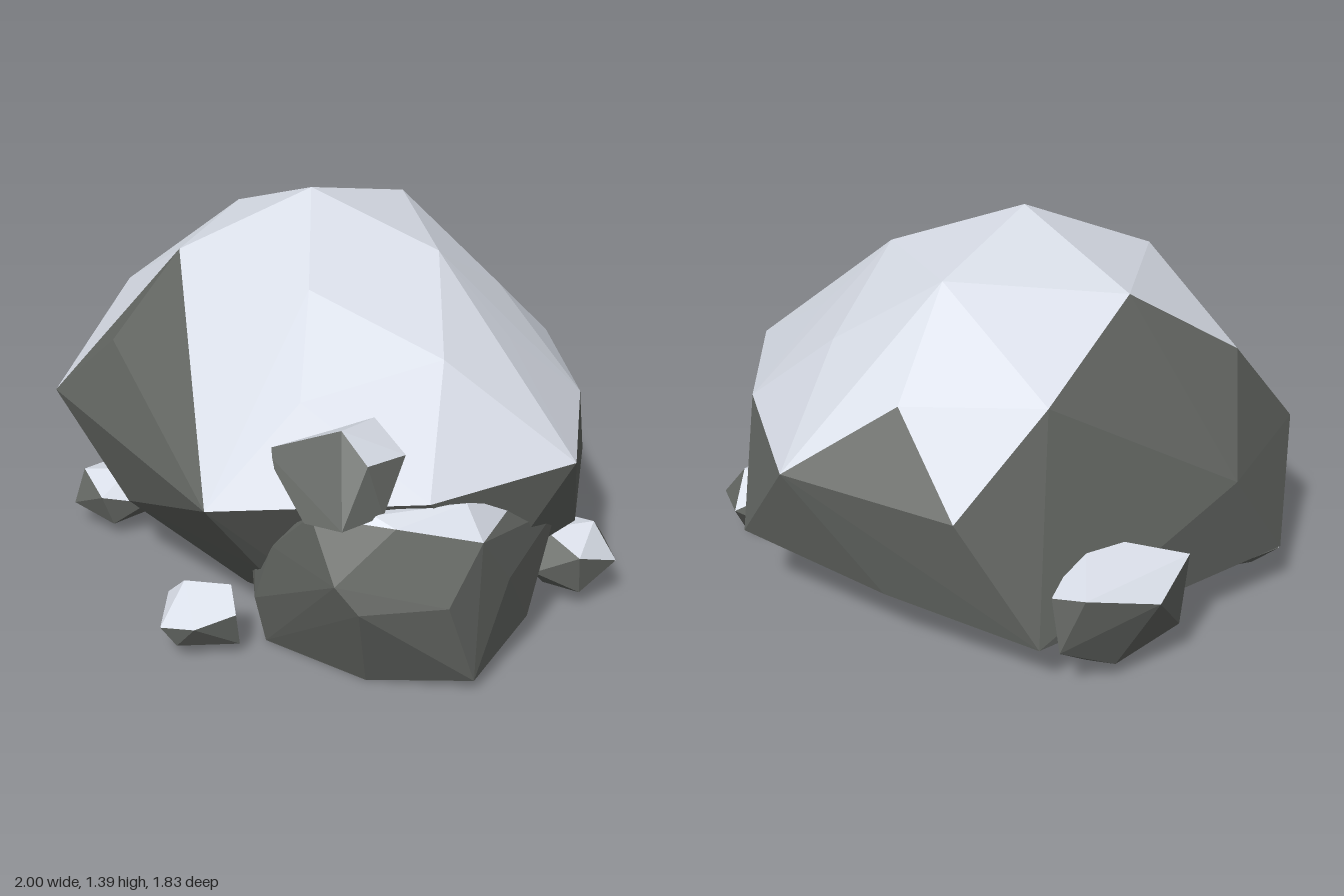
import * as THREE from 'three';
import { ConvexGeometry } from 'three/addons/geometries/ConvexGeometry.js';

const stone = new THREE.MeshStandardMaterial({ color: 0x656864, flatShading: true });
stone.name = 'grey stone';
const snow = new THREE.MeshStandardMaterial({ color: 0xd7dce6, flatShading: true });
snow.name = 'snow';

const vectors = (list) => list.map((p) => new THREE.Vector3(...p));
const hull = (list) => new ConvexGeometry(vectors(list));

// Splits a faceted solid into a stone mesh and a snow mesh by a rule on each face
function snowyRock(name, geometry, isSnow) {
  const group = new THREE.Group();
  group.name = name;
  const pos = (geometry.index ? geometry.toNonIndexed() : geometry).getAttribute('position');
  const sides = { Stone: [], Snow: [] };
  for (let i = 0; i < pos.count; i += 3) {
    const corners = [0, 1, 2].map((k) => new THREE.Vector3().fromBufferAttribute(pos, i + k));
    const normal = new THREE.Triangle(...corners).getNormal(new THREE.Vector3());
    const target = isSnow(normal, corners) ? sides.Snow : sides.Stone;
    corners.forEach((c) => target.push(c.x, c.y, c.z));
  }
  for (const side in sides) {
    if (!sides[side].length) continue;
    const part = new THREE.BufferGeometry();
    part.setAttribute('position', new THREE.Float32BufferAttribute(sides[side], 3));
    part.computeVertexNormals();
    const mesh = new THREE.Mesh(part, side === 'Snow' ? snow : stone);
    mesh.name = name + side;
    group.add(mesh);
  }
  return group;
}

const facesUp = (normal) => normal.y > 0.57;

// Main rock: bare front and back patches, snow cap, then the stone below it
function mainRock() {
  const front = vectors([
    [-0.385, 1.19, 0.35], [-0.535, 0.87, 0.54], [-0.07, 0.9, 0.58],
    [-0.89, 0.57, 0.52], [0.24, 0.595, 0.87],
  ]);
  const back = vectors([[-0.33, 0.65, -0.826], [-0.05, 0.94, -0.71], [0.28, 0.69, -0.915]]);
  const cap = vectors([
    [-0.09, 1.39, 0], [0.18, 1.17, 0.31], [0.345, 1.22, -0.16], [-0.06, 1.28, -0.457],
    [-0.555, 1.22, -0.115], [-0.8, 0.945, 0.215], [-0.51, 0.99, -0.55],
    [0.335, 1.0, -0.525], [0.59, 0.95, -0.24], [0.62, 0.995, 0.15], [0.36, 0.9, 0.55],
    [0.79, 0.635, 0.42], [0.995, 0.665, -0.08], [0.7, 0.685, -0.53],
  ]);
  const lower = vectors([
    [-0.925, 0.57, 0], [-1, 0.2, 0.25], [-0.58, 0.19, -0.71], [-0.47, 0.27, 0.56],
    [0.25, 0.3, 0.64], [0.86, 0.32, 0.1], [0.86, 0.32, -0.3], [0.55, 0.32, -0.8],
    [-0.02, 0.25, -0.78], [0.24, 0.06, -0.43], [-0.55, 0.06, 0.2], [-0.34, 0, 0.2],
    [-0.08, 0, 0.36], [0.4, 0, 0.3], [0.45, 0, -0.1], [0, 0, -0.3], [-0.35, 0, -0.25],
  ]);
  const among = (list, c) => list.some((p) => p.distanceTo(c) < 0.001);
  const upper = [...front, ...back, ...cap];
  const isSnow = (normal, corners) =>
    corners.every((c) => among(upper, c)) && normal.y > 0.1 &&
    ![front, back].some((patch) => corners.every((c) => among(patch, c)));
  return snowyRock('mainRock', new ConvexGeometry([...upper, ...lower]), isSnow);
}

// Boulder leaning on the front corner, with a pointed knob on top
function boulder() {
  const body = hull([
    [0.53, 0.61, 0.69], [0.685, 0.62, 0.57], [0.76, 0.59, 0.55], [0.85, 0.62, 0.31],
    [0.87, 0.54, 0.09], [0.95, 0.53, 0.35], [0.66, 0.42, 0.725], [0.73, 0.33, 0.69],
    [0.33, 0.42, 0.66], [0.16, 0.34, 0.56], [0.09, 0.24, 0.51], [0.23, 0.18, 0.64],
    [0.93, 0.345, 0.49], [0.95, 0.34, 0.2], [0.88, 0.43, -0.15], [0.85, 0.22, -0.12],
    [0.9, 0.1, 0.02], [0.955, 0.04, 0.38], [0.65, 0, 0.56], [0.24, 0, 0.6],
    [0.3, 0, 0.1], [0.65, 0, -0.02],
  ]);
  const knob = hull([
    [0.56, 0.875, 0.58], [0.31, 0.765, 0.67], [0.55, 0.86, 0.41], [0.68, 0.77, 0.41],
    [0.66, 0.78, 0.57], [0.7, 0.61, 0.54], [0.66, 0.6, 0.69], [0.52, 0.59, 0.71],
    [0.5, 0.55, 0.42],
  ]);
  const group = new THREE.Group();
  group.name = 'boulder';
  group.add(snowyRock('boulderBody', body, facesUp), snowyRock('boulderKnob', knob, facesUp));
  return group;
}

// Round pebble: an icosahedron with half sizes, turned and moved into place
function roundPebble(at, size, turn) {
  const geometry = new THREE.IcosahedronGeometry(1, 0);
  geometry.rotateX(turn[0]).rotateY(turn[1]).rotateZ(turn[2]);
  return geometry.scale(...size).translate(...at);
}

// Small stones around the foot
const pebbles = {
  frontLeftPebble: roundPebble([-0.78, 0.13, 0.35], [0.18, 0.12, 0.16], [0.3, 0.5, 0.2]),
  rightPebble: roundPebble([0.8, 0.15, -0.36], [0.17, 0.14, 0.18], [0.2, 0.9, 0.1]),
  frontPebble: hull([
    [-0.04, 0.16, 0.78], [0.03, 0.225, 0.77], [0.16, 0.22, 0.68], [0.24, 0.16, 0.74],
    [0.235, 0.04, 0.72], [0.1, 0.005, 0.765], [-0.03, 0.06, 0.8], [0.055, 0.115, 0.91],
    [0.175, 0.135, 0.87], [0.1, 0.1, 0.63], [0.1, 0.05, 0.88],
  ]),
  backPebble: hull([
    [-0.73, 0.42, -0.68], [-0.9, 0.36, -0.49], [-0.9, 0.44, -0.29], [-0.6, 0.5, -0.45],
    [-0.6, 0.38, -0.67], [-0.82, 0.27, -0.17], [-0.65, 0.2, -0.7], [-0.88, 0.16, -0.3],
    [-0.75, 0.07, -0.5], [-0.61, 0, -0.45], [-0.72, 0.08, -0.25], [-0.5, 0.2, -0.4],
  ]),
};

export function createModel() {
  const model = new THREE.Group();
  model.name = 'snowyRocks';
  model.add(mainRock(), boulder());
  for (const name in pebbles) model.add(snowyRock(name, pebbles[name], facesUp));
  return model;
}
